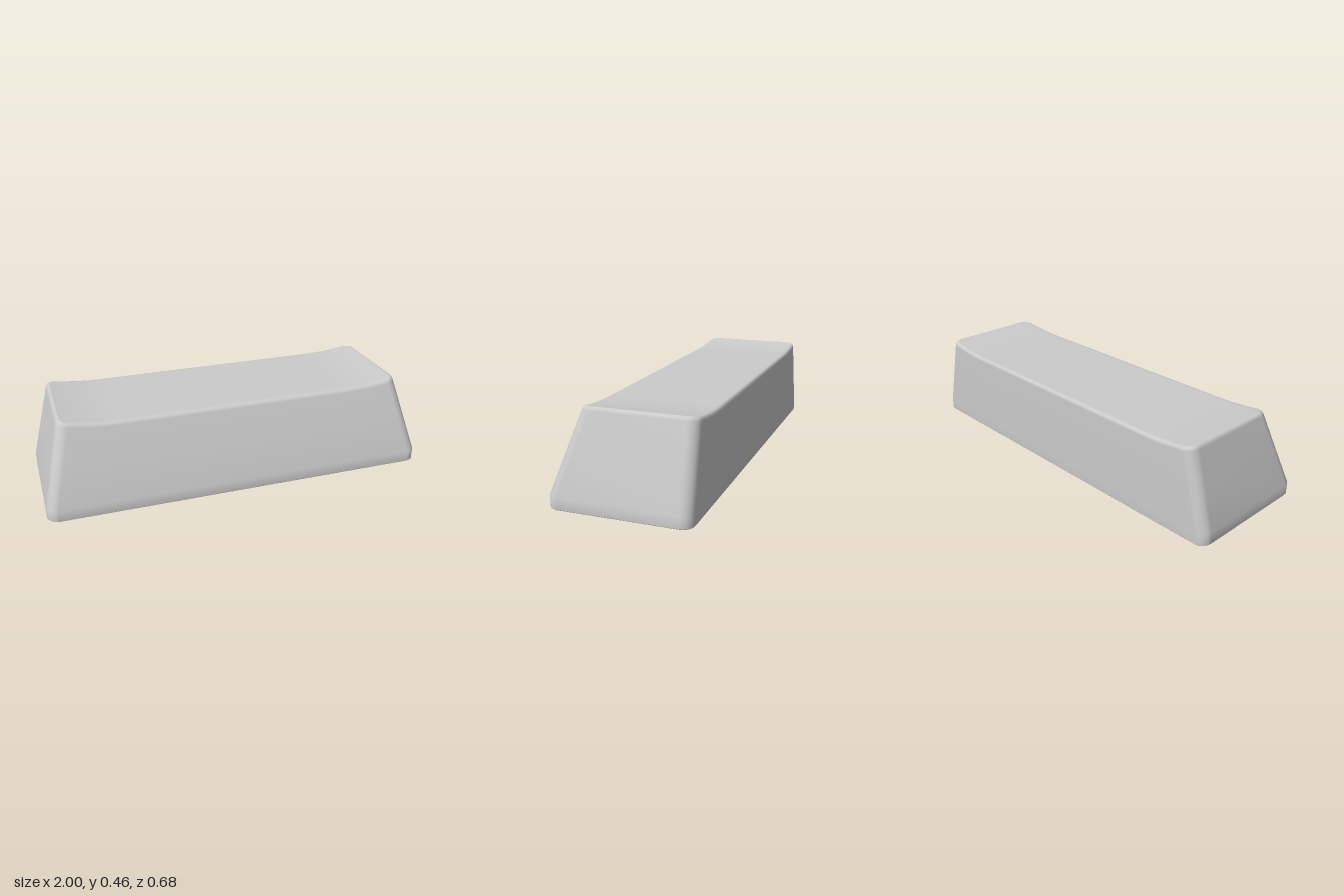
import * as THREE from 'three';

const material = new THREE.MeshStandardMaterial({ color: 0xcccccc });
const BAND = 0.06, TOP = 0.457;
const ARC = 6, LONG = 28;

// Height of the top face: flat in the middle, curling up at both ends
const dish = (x) => 0.43 + 0.027 * Math.min(1, Math.max(0, (Math.abs(x) - 0.6) / 0.29)) ** 2;

// Rounded rectangle with subdivided long sides, as [x, z] pairs
function outline(halfX, zBack, zFront, r) {
  const pts = [];
  const corners = [[1, 1], [-1, 1], [-1, -1], [1, -1]];
  corners.forEach(([sx, sz], q) => {
    const cx = sx * (halfX - r), cz = sz > 0 ? zFront - r : zBack + r;
    for (let i = 0; i <= ARC; i++) {
      const a = (q + i / ARC) * Math.PI / 2;
      pts.push([cx + r * Math.cos(a), cz + r * Math.sin(a)]);
    }
    if (q % 2 === 0) {
      const z = sz > 0 ? zFront : zBack;
      for (let i = 1; i < LONG; i++) pts.push([cx * (1 - 2 * i / LONG), z]);
    }
  });
  return pts;
}

// Outline of the tapered body at height y; the back wall stays upright
function bodyOutline(y, inset = 0, r = 0.055) {
  const t = Math.max(0, (y - BAND) / (TOP - BAND));
  return outline(1 - 0.1 * t - inset, -0.34 + inset, 0.34 - 0.132 * t - inset, Math.max(0.015, r - inset));
}

const level = (y, inset, r) => bodyOutline(y, inset, r).map(([x, z]) => [x, y, z]);

// Ring that follows the dished top, dropped below it and inset from the wall
function topRing(drop, inset) {
  return bodyOutline(TOP, inset).map(([x], i) => {
    const y = dish(x) - drop;
    const [px, pz] = bodyOutline(y, inset)[i];
    return [px, y, pz];
  });
}

// Squeeze a ring towards its lengthwise centre line
const squeeze = (ring, s, zc, height) =>
  ring.map(([x, y, z]) => [x, height ? height(x) : y, zc + (z - zc) * s]);

function loft(rings) {
  const n = rings[0].length, index = [];
  for (let j = 0; j < rings.length - 1; j++) {
    for (let i = 0; i < n; i++) {
      const k = (i + 1) % n;
      const a = j * n + i, b = a + n, c = (j + 1) * n + k, d = j * n + k;
      index.push(a, b, c, a, c, d);
    }
  }
  const geo = new THREE.BufferGeometry();
  geo.setAttribute('position', new THREE.Float32BufferAttribute(rings.flat(2), 3));
  geo.setIndex(index);
  geo.computeVertexNormals();
  return geo;
}

// Hollow shell: ceiling, inner wall, rim, outer wall, dished top
function shellGeometry() {
  const ceiling = level(0.36, 0.055);
  const lip = topRing(0, 0.016);
  return loft([
    squeeze(ceiling, 0, -0.05), squeeze(ceiling, 0.5, -0.05), ceiling,
    level(0.356, 0.045), level(0.345, 0.04), level(BAND, 0.04), level(0.006, 0.04),
    level(0, 0.034), level(0, 0.004), level(0.004, 0), level(BAND, 0), level(0.25, 0),
    topRing(0.018, 0), topRing(0.008, 0.003), topRing(0.002, 0.008), lip,
    ...[0.95, 0.6, 0.3, 0].map((s) => squeeze(lip, s, -0.065, dish)),
  ]);
}

// Round post with a cross-shaped socket
function stemGeometry() {
  const shape = new THREE.Shape().absarc(0, 0, 0.11, 0, Math.PI * 2, false);
  const l = 0.078, w = 0.024;
  const cross = [[l, w], [w, w], [w, l], [-w, l], [-w, w], [-l, w],
    [-l, -w], [-w, -w], [-w, -l], [w, -l], [w, -w], [l, -w]];
  shape.holes.push(new THREE.Path(cross.map(([x, y]) => new THREE.Vector2(x, y))));
  return new THREE.ExtrudeGeometry(shape, { depth: 0.32, bevelEnabled: false, curveSegments: 12 })
    .rotateX(-Math.PI / 2).translate(0, 0.05, 0);
}

export function createModel() {
  const group = new THREE.Group();
  group.name = 'keycap';
  const add = (name, geometry) => {
    const mesh = new THREE.Mesh(geometry, material);
    mesh.name = name;
    group.add(mesh);
  };
  add('shell', shellGeometry());
  add('stem', stemGeometry());
  return group;
}
